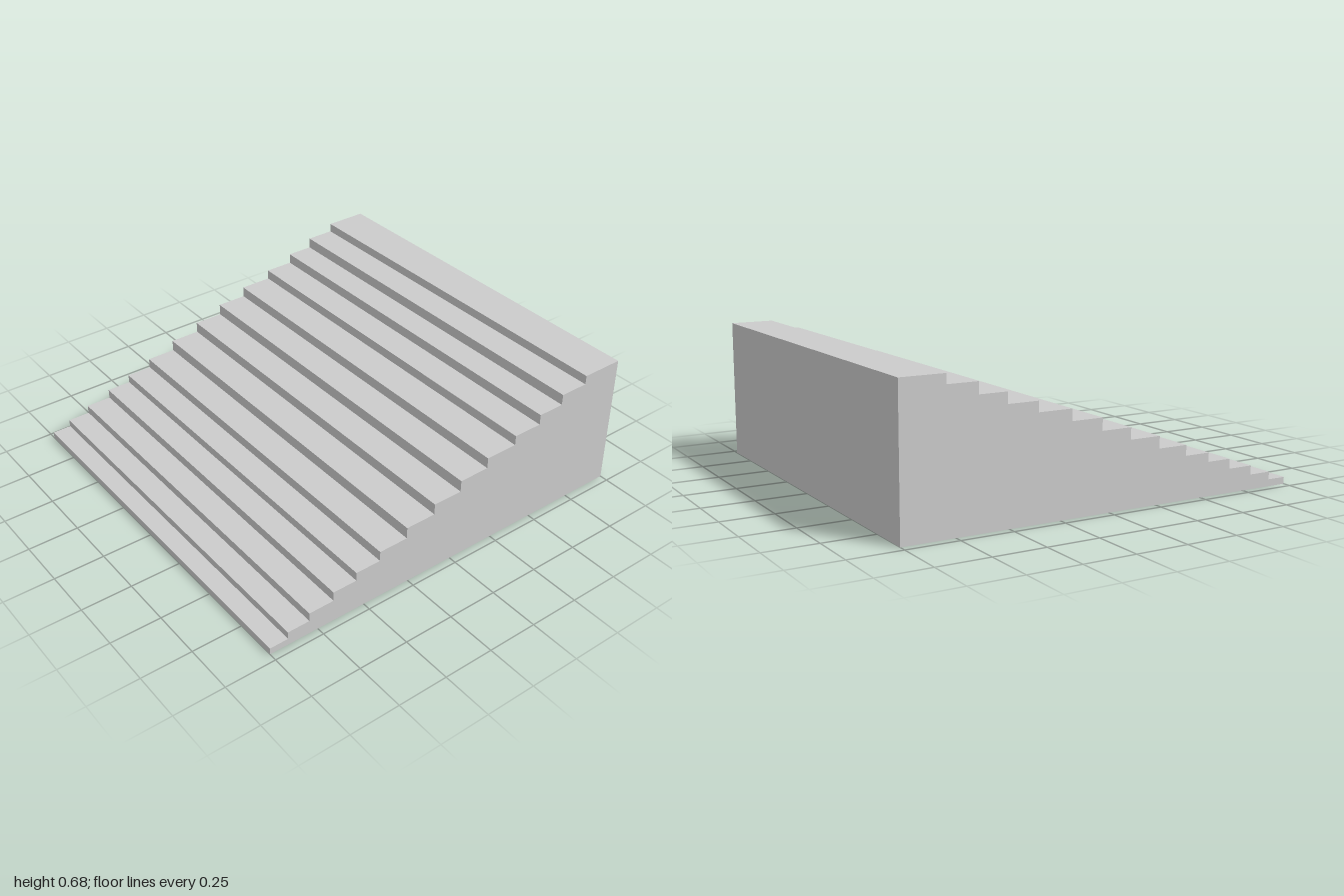
import * as THREE from 'three';

// Each step: [x where its riser stands, height of its tread]
const STEPS = [
  [-1, 0.033], [-0.906, 0.07], [-0.794, 0.113], [-0.666, 0.16], [-0.543, 0.203],
  [-0.414, 0.253], [-0.265, 0.31], [-0.11, 0.365], [0.04, 0.423], [0.195, 0.477],
  [0.36, 0.526], [0.508, 0.578], [0.643, 0.632], [0.788, 0.677],
];
const RIGHT = 1;
const DEPTH = 1.92;

export function createModel() {
  const group = new THREE.Group();
  group.name = 'staircase';

  // Stepped side profile, climbing towards +x
  const profile = new THREE.Shape();
  profile.moveTo(RIGHT, 0);
  STEPS.forEach(([x, height], i) => {
    profile.lineTo(x, i ? STEPS[i - 1][1] : 0);
    profile.lineTo(x, height);
  });
  profile.lineTo(RIGHT, STEPS[STEPS.length - 1][1]);
  profile.closePath();

  // Solid flight of steps, as deep as the treads are long
  const geometry = new THREE.ExtrudeGeometry(profile, { depth: DEPTH, bevelEnabled: false });
  geometry.translate(0, 0, -DEPTH / 2);
  const material = new THREE.MeshStandardMaterial({ color: 0xcccccc, flatShading: true });
  const steps = new THREE.Mesh(geometry, material);
  steps.name = 'steps';
  group.add(steps);

  return group;
}
